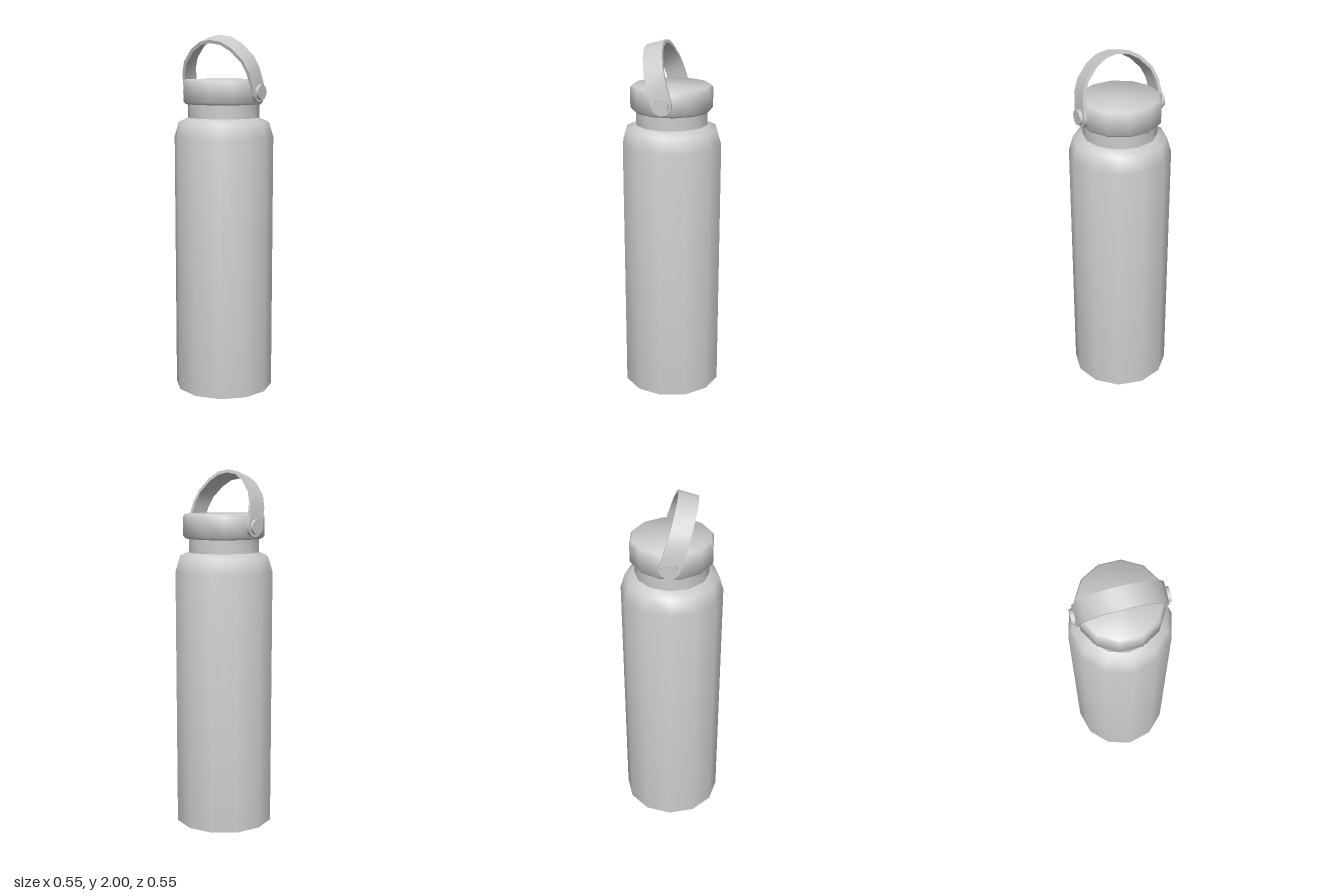
import * as THREE from 'three';
import { toCreasedNormals } from 'three/addons/utils/BufferGeometryUtils.js';

const SIDES = 12;
const TILT = 0.285; // handle leans forward
const PIVOT_Y = 1.688;
const STRAP_WIDTH = 0.108;
const STRAP_THICKNESS = 0.018;
const STRAP_X = 0.235; // outer face of the strap legs

const material = new THREE.MeshStandardMaterial({ color: 0xcccccc });

function part(name, geometry, parent) {
  const mesh = new THREE.Mesh(geometry, material);
  mesh.name = name;
  parent.add(mesh);
  return mesh;
}

function turned(profile, phiStart, crease) {
  const points = profile.map(([r, y]) => new THREE.Vector2(r, y));
  return toCreasedNormals(new THREE.LatheGeometry(points, SIDES, phiStart), crease);
}

// Mirror one side of an arch, listed from foot to crown, to the other side
function mirrored(half) {
  return [...half, ...half.slice(0, -1).reverse().map(([x, y]) => [-x, y])];
}

function strapGeometry() {
  const outer = [[STRAP_X, 0], [0.233, 0.04], [0.222, 0.122], [0.196, 0.187], [0.132, 0.257], [0.069, 0.294], [0, 0.305]];
  const inner = [[STRAP_X - STRAP_THICKNESS, 0], [0.215, 0.04], [0.204, 0.118], [0.181, 0.177], [0.122, 0.241], [0.064, 0.276], [0, 0.287]];
  const outline = [...mirrored(outer), ...mirrored(inner).reverse()];
  const shape = new THREE.Shape(outline.map(([x, y]) => new THREE.Vector2(x, y)));
  const geometry = new THREE.ExtrudeGeometry(shape, { depth: STRAP_WIDTH, bevelEnabled: false });
  geometry.translate(0, 0, -STRAP_WIDTH / 2);
  return toCreasedNormals(geometry, 0.7);
}

export function createModel() {
  const model = new THREE.Group();
  model.name = 'bottle';

  // Body with shoulder and neck
  part('body', turned([
    [0, 0], [0.277, 0], [0.277, 1.44], [0.253, 1.52], [0.2, 1.545], [0.199, 1.63],
  ], 0, 1.0), model);

  // Lid with softened rims, turned half a facet against the body
  part('lid', turned([
    [0, 1.62], [0.212, 1.62], [0.225, 1.633], [0.225, 1.741], [0.213, 1.756], [0, 1.756],
  ], Math.PI / SIDES, 1.0), model);

  // Carrying handle, hinged on both sides of the lid
  const handle = new THREE.Group();
  handle.name = 'handle';
  handle.position.y = PIVOT_Y;
  handle.rotation.x = TILT;
  model.add(handle);
  part('strap', strapGeometry(), handle);

  for (const [side, sign] of [['left', 1], ['right', -1]]) {
    // Rounded foot of the strap
    const foot = new THREE.CylinderGeometry(STRAP_WIDTH / 2, STRAP_WIDTH / 2, STRAP_THICKNESS, 10, 1, false, Math.PI, Math.PI);
    foot.rotateZ(Math.PI / 2);
    part(side + 'StrapFoot', foot, handle).position.x = sign * (STRAP_X - STRAP_THICKNESS / 2);

    // Hinge pin running from inside the lid to its round head
    const pin = new THREE.CylinderGeometry(0.041, 0.041, 0.053, 16);
    pin.rotateZ(Math.PI / 2);
    part(side + 'HingePin', pin, handle).position.x = sign * 0.2265;
  }

  return model;
}
